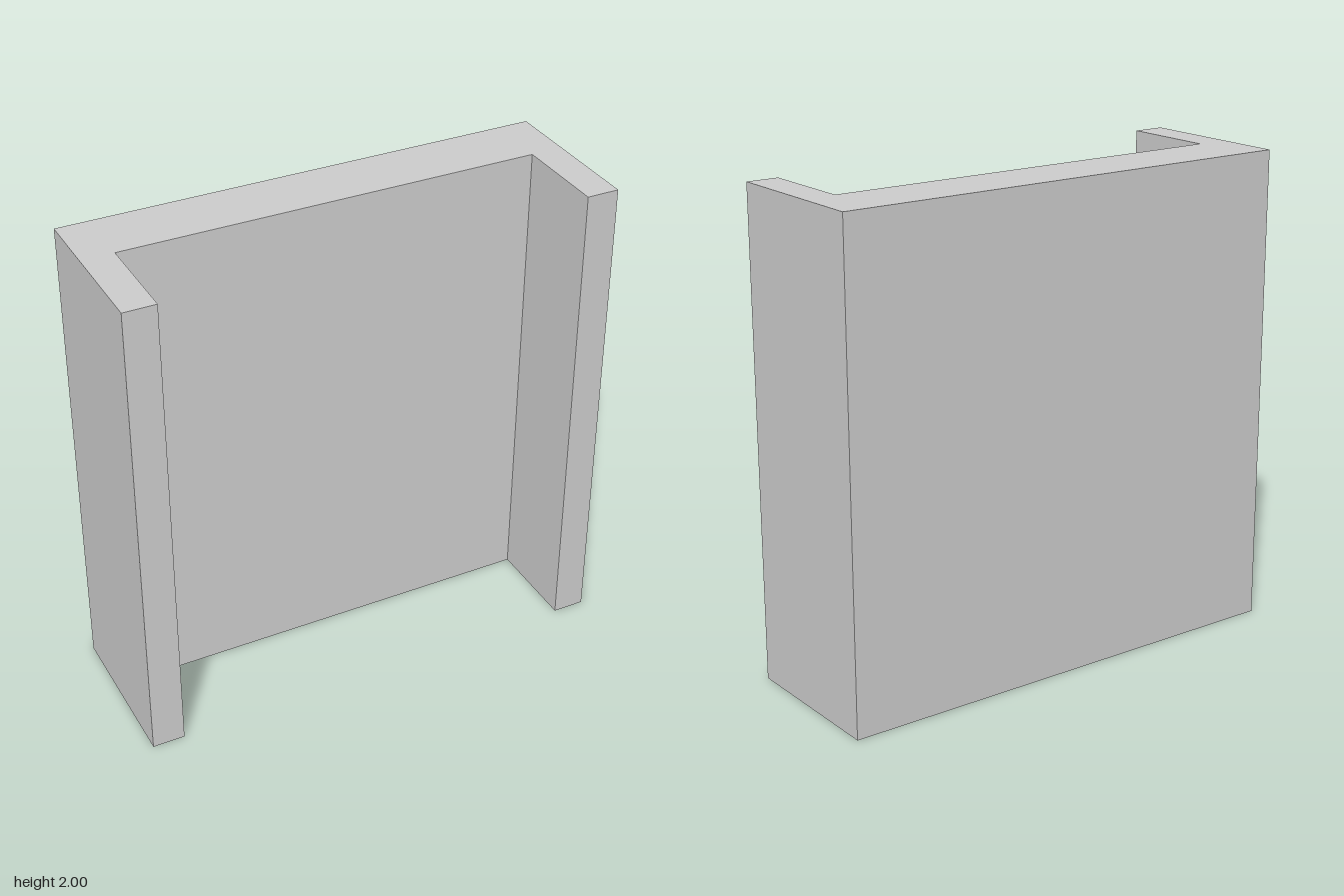
import * as THREE from 'three';

export function createModel() {
  const group = new THREE.Group();
  const w = 1, d = 0.3333; // outer half width and half depth
  const innerX = 0.8667, innerZ = -0.0667; // inner faces of flanges and web
  const height = 2;

  // U-shaped plan (x, -z), open towards the front
  const plan = new THREE.Shape([
    [-w, -d], [-innerX, -d], [-innerX, -innerZ], [innerX, -innerZ],
    [innerX, -d], [w, -d], [w, d], [-w, d],
  ].map(([x, y]) => new THREE.Vector2(x, y)));

  // Extrude the plan upwards into one solid channel
  const geometry = new THREE.ExtrudeGeometry(plan, { depth: height, bevelEnabled: false });
  geometry.rotateX(-Math.PI / 2);

  const channel = new THREE.Mesh(
    geometry,
    new THREE.MeshStandardMaterial({ color: 0xcccccc, flatShading: true })
  );
  channel.name = 'channelPanel';
  group.add(channel);
  return group;
}
